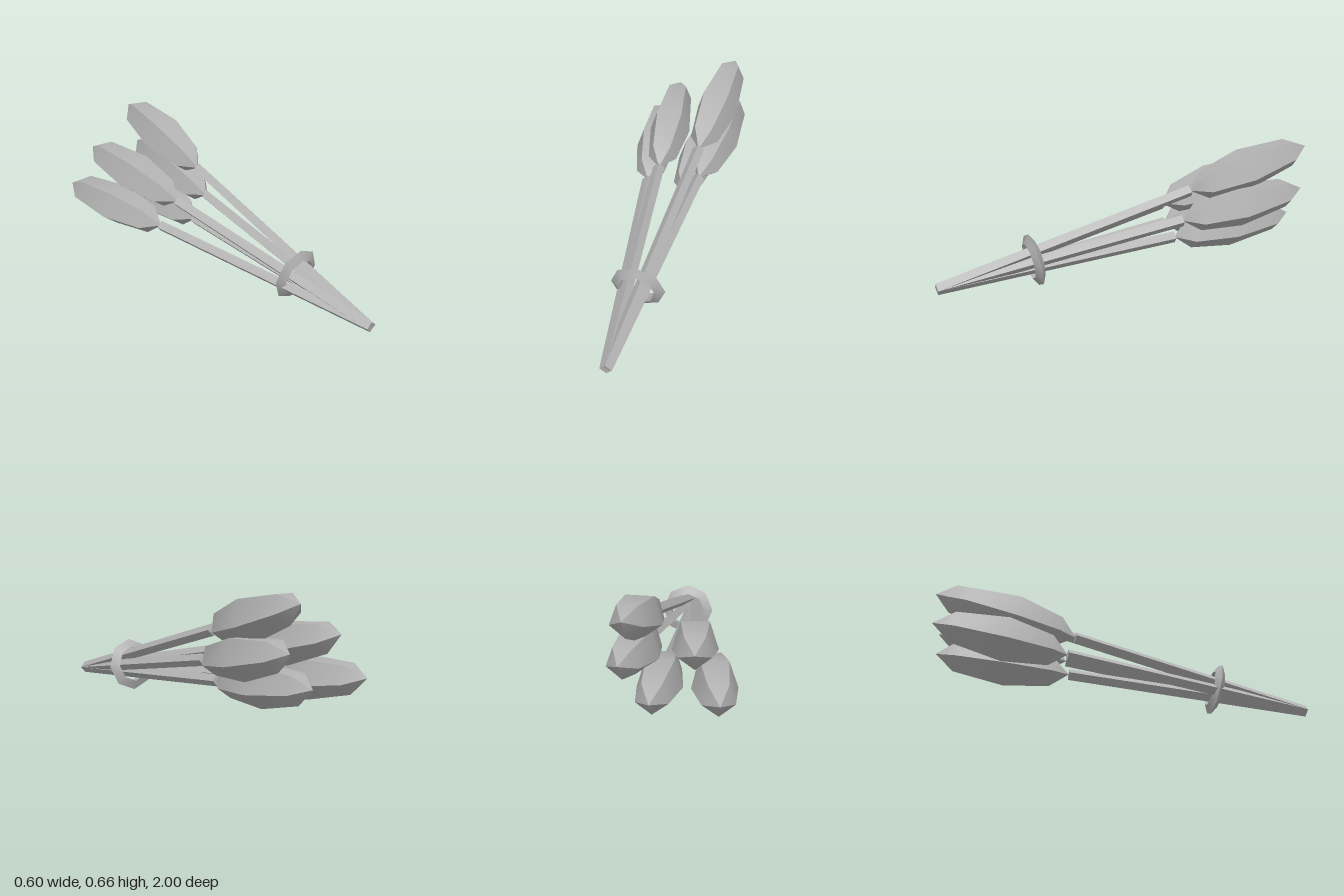
import * as THREE from 'three';
import { toCreasedNormals } from 'three/addons/utils/BufferGeometryUtils.js';

const grey = new THREE.MeshStandardMaterial({ color: 0xb2b2b2 });
grey.name = 'grey';

const BASE = new THREE.Vector3(0.07, 0.056, 1); // where all stems meet
const BUD_LENGTH = 0.69;

// tip of each bud
const TIPS = [
  [-0.238, 0.249, -0.995],
  [-0.12, 0.46, -0.94],
  [0.19, 0.627, -0.995],
  [0.219, 0.404, -0.962],
  [0.082, 0.229, -0.968],
];

// five-sided bud growing along +y, edges sharp around and smooth along its length
function budGeometry() {
  const profile = [[0, 0], [0.081, 0.095], [0.117, 0.328], [0.081, 0.59], [0, BUD_LENGTH]];
  const lathe = new THREE.LatheGeometry(profile.map(([r, y]) => new THREE.Vector2(r, y)), 5);
  return toCreasedNormals(lathe, 0.7);
}

// four-sided stem growing along +y
function stemGeometry(length) {
  const stem = new THREE.CylinderGeometry(0.031, 0.031, length, 4);
  stem.translate(0, length / 2, 0);
  return toCreasedNormals(stem, 0.5);
}

function addMesh(parent, geometry, name) {
  const mesh = new THREE.Mesh(geometry, grey);
  mesh.name = name;
  parent.add(mesh);
  return mesh;
}

export function createModel() {
  const model = new THREE.Group();
  model.name = 'bouquet';
  const budShape = budGeometry();

  // flowers fan out from the shared base, each bud with its flat side up
  TIPS.forEach((tip) => {
    const along = new THREE.Vector3(...tip).sub(BASE);
    const stemLength = along.length() - BUD_LENGTH;
    along.normalize();
    const down = new THREE.Vector3(0, -1, 0).addScaledVector(along, along.y).normalize();
    const side = new THREE.Vector3().crossVectors(along, down);

    const flower = new THREE.Group();
    flower.name = 'flower';
    flower.quaternion.setFromRotationMatrix(new THREE.Matrix4().makeBasis(side, along, down));
    flower.position.copy(BASE);
    addMesh(flower, stemGeometry(stemLength), 'stem');
    addMesh(flower, budShape, 'bud').position.y = stemLength;
    model.add(flower);
  });

  // tie ring: eight segments with a triangular section, sharp rim outwards
  const ringShape = toCreasedNormals(new THREE.TorusGeometry(0.111, 0.031, 3, 8), 0.9);
  const ring = addMesh(model, ringShape, 'tieRing');
  ring.position.set(0.07, 0.142, 0.502);
  ring.rotation.x = 0.19;

  return model;
}
